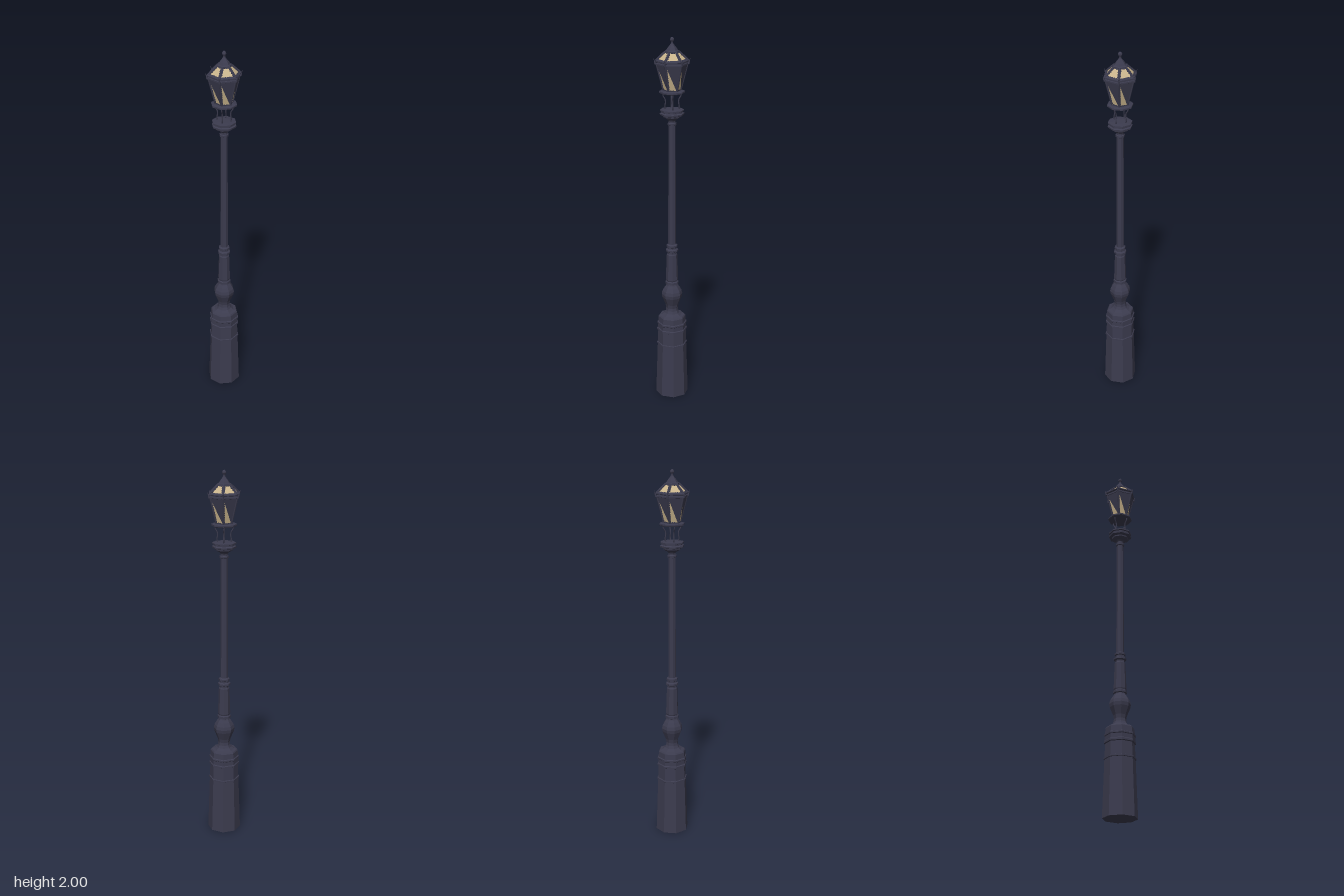
import * as THREE from 'three';

const iron = new THREE.MeshStandardMaterial({ color: 0x3b3b4e });
iron.name = 'darkIron';
const amber = new THREE.MeshStandardMaterial({ color: 0xc9b48c });
amber.name = 'amberGlass';

function add(parent, name, geometry, material = iron) {
  const mesh = new THREE.Mesh(geometry, material);
  mesh.name = name;
  parent.add(mesh);
  return mesh;
}

// Faceted turned part from [radius, height] pairs, listed from bottom to top
function turned(profile, sides) {
  const g = new THREE.LatheGeometry(profile.map(([r, y]) => new THREE.Vector2(r, y)), sides).toNonIndexed();
  g.computeVertexNormals();
  return g;
}

// Trapezoid outline; teeth > 0 gives its edges a row of small scallops
function outline(path, corners, teeth = 0, depth = 0) {
  const pts = [];
  corners.forEach((a, i) => {
    const b = corners[(i + 1) % 4];
    const dir = b.clone().sub(a);
    const len = dir.length();
    const inward = new THREE.Vector2(-dir.y, dir.x).divideScalar(len);
    const n = teeth ? Math.max(3, Math.round(len / teeth)) : 1;
    pts.push(a);
    for (let k = 0; k < n && teeth; k++) {
      if (k === 0 || k === n - 1) continue;
      const rise = k % 2 ? depth : depth * 0.25;
      for (const t of [0.15, 0.85]) {
        pts.push(a.clone().addScaledVector(dir, (k + t) / n).addScaledVector(inward, rise));
      }
    }
  });
  return path.setFromPoints(pts);
}

// Six tilted frames with scalloped windows, between two hexagonal rings
function windowFrames(parent, name, r0, y0, r1, y1, side, bottom, top) {
  const dz = (r1 - r0) * Math.cos(Math.PI / 6);
  const L = Math.hypot(dz, y1 - y0);
  const half = (v) => (r0 + ((r1 - r0) * v) / L) / 2;
  const quad = (v0, v1, s) => [[-1, v0], [1, v0], [1, v1], [-1, v1]]
    .map(([sx, v]) => new THREE.Vector2(sx * (half(v) - s), v));
  const shape = outline(new THREE.Shape(), quad(0, L, 0));
  shape.holes.push(outline(new THREE.Path(), quad(bottom, L - top, side), 0.006, 0.003));
  const geo = new THREE.ExtrudeGeometry(shape, { depth: 0.003, bevelEnabled: false });
  geo.rotateX(Math.atan2(dz, y1 - y0));
  geo.translate(0, y0, r0 * Math.cos(Math.PI / 6));
  for (let i = 0; i < 6; i++) {
    add(parent, name, geo).rotation.y = Math.PI / 6 + (i * Math.PI) / 3;
  }
}

// Straight rib between two points
function rib(parent, name, a, b, radius) {
  const mesh = add(parent, name, new THREE.CylinderGeometry(radius, radius, a.distanceTo(b), 6));
  mesh.position.copy(a).lerp(b, 0.5);
  mesh.quaternion.setFromUnitVectors(new THREE.Vector3(0, 1, 0), b.clone().sub(a).normalize());
}

export function createModel() {
  const root = new THREE.Group();
  root.name = 'streetLamp';

  // Octagonal pedestal with its raised bands
  add(root, 'pedestal', turned([
    [0, 0], [0.09, 0], [0.08, 0.3], [0.084, 0.302], [0.084, 0.31], [0.079, 0.312],
    [0.077, 0.383], [0.083, 0.386], [0.083, 0.396], [0.079, 0.4], [0.079, 0.422],
    [0.082, 0.425], [0.082, 0.433], [0.077, 0.436], [0.075, 0.466], [0.07, 0.473], [0.045, 0.48],
  ], 8));

  // Bulb and neck
  add(root, 'bulb', turned([
    [0.055, 0.477], [0.041, 0.488], [0.034, 0.502], [0.032, 0.518], [0.036, 0.538], [0.045, 0.56],
    [0.054, 0.582], [0.057, 0.6], [0.053, 0.618], [0.042, 0.638], [0.032, 0.652], [0.03, 0.658],
    [0.037, 0.661], [0.037, 0.673], [0.031, 0.678],
  ], 8));

  // Tapered lower column with collar rings
  add(root, 'lowerColumn', turned([
    [0.031, 0.676], [0.034, 0.685], [0.029, 0.83], [0.025, 0.836], [0.025, 0.845], [0.034, 0.85],
    [0.034, 0.86], [0.025, 0.865], [0.025, 0.873], [0.03, 0.876], [0.03, 0.886], [0.02, 0.892],
  ], 8));

  // Long pole
  add(root, 'pole', turned([
    [0.021, 0.885], [0.019, 1.545], [0.024, 1.548], [0.024, 1.558], [0.019, 1.561], [0.019, 1.575],
  ], 8));

  // Capital on top of the pole
  add(root, 'capital', turned([
    [0.019, 1.57], [0.025, 1.578], [0.037, 1.584], [0.046, 1.59], [0.047, 1.597], [0.063, 1.602],
    [0.064, 1.61], [0.056, 1.614], [0.056, 1.62], [0.063, 1.622], [0.063, 1.629], [0.03, 1.632], [0, 1.632],
  ], 8));

  // Four curved brackets carrying the lantern
  const bracket = new THREE.TubeGeometry(new THREE.CatmullRomCurve3([
    [0.033, 1.628], [0.037, 1.645], [0.034, 1.665], [0.036, 1.683], [0.046, 1.7], [0.048, 1.717],
  ].map(([x, y]) => new THREE.Vector3(x, y, 0))), 20, 0.0035, 6);
  for (let i = 0; i < 4; i++) add(root, 'bracket', bracket).rotation.y = (i * Math.PI) / 2;

  const lantern = new THREE.Group();
  lantern.name = 'lantern';
  root.add(lantern);

  // Floor plate
  add(lantern, 'floorPlate', turned([
    [0, 1.713], [0.06, 1.713], [0.067, 1.717], [0.067, 1.725], [0.05, 1.729], [0, 1.729],
  ], 8));

  // Glass body and glazed roof
  add(lantern, 'bodyGlass', turned([[0.043, 1.727], [0.078, 1.865]], 6), amber);
  add(lantern, 'roofGlass', turned([[0.082, 1.88], [0.034, 1.925]], 6), amber);
  windowFrames(lantern, 'bodyFrame', 0.043, 1.727, 0.078, 1.865, 0.004, 0.006, 0.008);
  windowFrames(lantern, 'roofFrame', 0.082, 1.88, 0.034, 1.925, 0.006, 0.008, 0.006);

  // Hexagonal eaves
  add(lantern, 'eaves', turned([
    [0.076, 1.858], [0.083, 1.861], [0.083, 1.868], [0.079, 1.87], [0.079, 1.874],
    [0.088, 1.877], [0.088, 1.882], [0.078, 1.884],
  ], 6));

  // Ribs and upturned spikes on the six corners
  for (let i = 0; i < 6; i++) {
    const a = (i * Math.PI) / 3;
    const at = (r, y) => new THREE.Vector3(r * Math.sin(a), y, r * Math.cos(a));
    rib(lantern, 'bodyRib', at(0.044, 1.727), at(0.08, 1.866), 0.005);
    rib(lantern, 'roofRib', at(0.083, 1.882), at(0.035, 1.927), 0.005);
    const spike = add(lantern, 'cornerSpike', new THREE.ConeGeometry(0.006, 0.034, 6));
    spike.position.copy(at(0.089, 1.879));
    spike.rotation.set(0.3, a, 0, 'YXZ');
  }

  // Roof cap and finial
  add(lantern, 'roofCap', turned([
    [0.033, 1.92], [0.039, 1.922], [0.039, 1.929], [0.031, 1.933], [0.024, 1.944],
    [0.013, 1.957], [0.008, 1.964], [0, 1.966],
  ], 6));
  add(lantern, 'finial', turned([
    [0.009, 1.96], [0.006, 1.968], [0.006, 1.976], [0.01, 1.981], [0.011, 1.987], [0.008, 1.994], [0, 2],
  ], 8));

  return root;
}
